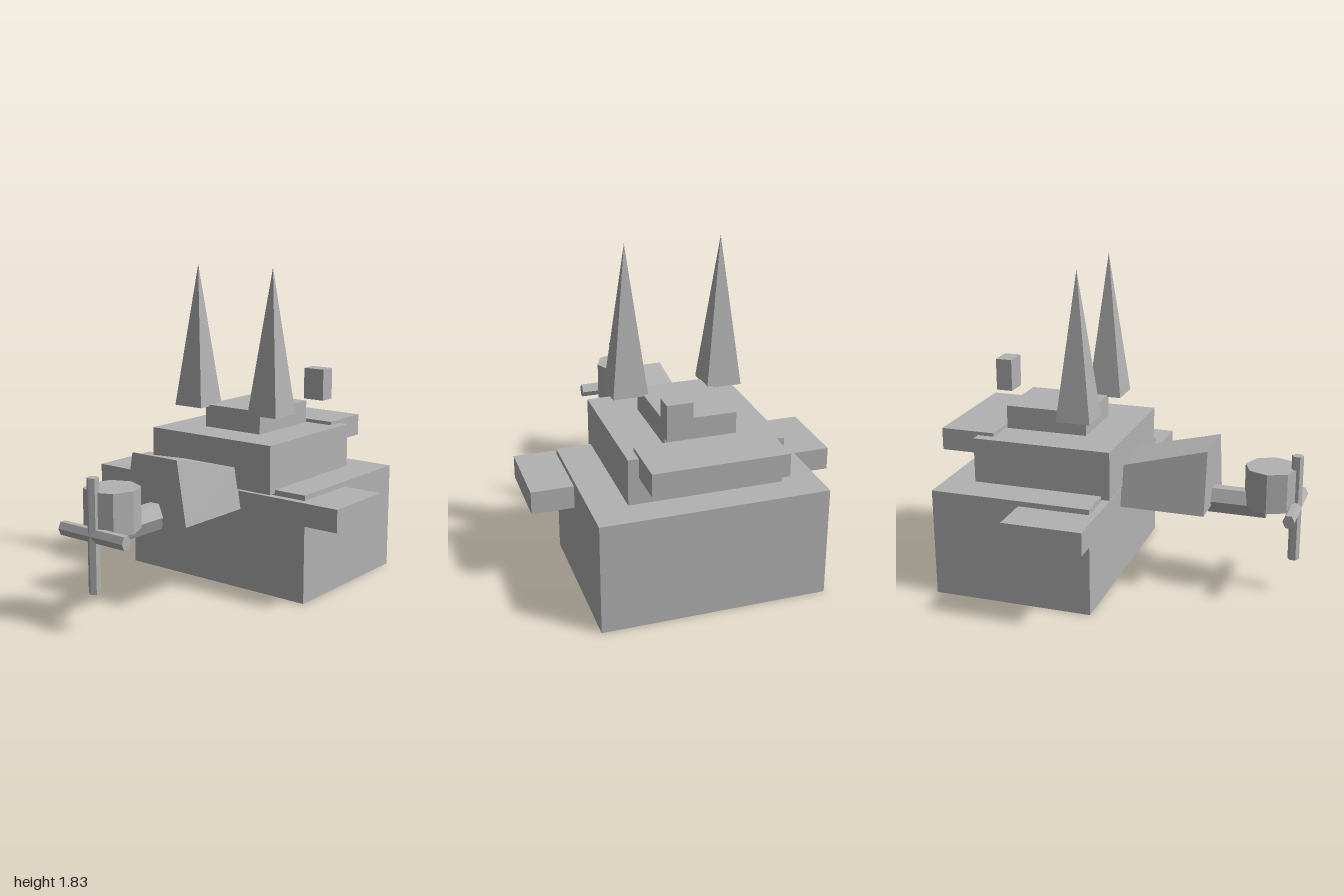
import * as THREE from 'three';

export function createModel() {
  const model = new THREE.Group();
  const grey = new THREE.MeshStandardMaterial({ color: 0xb2b2b2, flatShading: true });
  grey.name = 'grey';

  function add(name, geometry, x = 0, y = 0, z = 0) {
    const mesh = new THREE.Mesh(geometry, grey);
    mesh.name = name;
    mesh.position.set(x, y, z);
    model.add(mesh);
    return mesh;
  }

  // Box given by its extents on each axis
  function block(name, [x0, x1], [y0, y1], [z0, z1]) {
    return add(name, new THREE.BoxGeometry(x1 - x0, y1 - y0, z1 - z0),
      (x0 + x1) / 2, (y0 + y1) / 2, (z0 + z1) / 2);
  }

  // Stacked hull blocks
  block('body', [-0.625, 0.625], [0, 0.62], [-0.95, -0.03]);
  block('wings', [-0.86, 0.86], [0.46, 0.59], [-0.437, 0.013]);
  block('deck', [-0.425, 0.425], [0.6, 0.877], [-0.78, 0.018]);
  block('topBlock', [-0.197, 0.197], [0.87, 1.01], [-0.673, -0.197]);
  block('rearSlab', [-0.367, 0.367], [0.77, 0.897], [-1, -0.684]);
  block('chimney', [0.112, 0.25], [1.0, 1.19], [-0.872, -0.774]);

  // Pair of square spikes
  for (const side of [-1, 1]) {
    const spike = new THREE.ConeGeometry(0.098 * Math.SQRT2, 0.83, 4).rotateY(Math.PI / 4);
    add(side > 0 ? 'leftSpike' : 'rightSpike', spike, side * 0.267, 1.0 + 0.415, -0.213);
  }

  // Neck: a box whose top narrows and rises towards the front
  const neck = new THREE.BoxGeometry(2, 1, 1);
  const p = neck.attributes.position;
  for (let i = 0; i < p.count; i++) {
    const front = p.getZ(i) > 0, top = p.getY(i) > 0;
    const halfWidth = top ? (front ? 0.158 : 0.18) : 0.22;
    p.setXYZ(i, Math.sign(p.getX(i)) * halfWidth,
      top ? (front ? 0.845 : 0.72) : 0.485, front ? 0.495 : 0.012);
  }
  neck.computeVertexNormals();
  add('neck', neck);

  // Six-sided connecting rod along z
  const rod = new THREE.CylinderGeometry(0.06, 0.06, 0.33, 6)
    .rotateY(Math.PI / 2).rotateX(Math.PI / 2).scale(1, 0.0725 / 0.052, 1);
  add('connectingRod', rod, 0, 0.513, 0.64);

  // Eight-sided barrel with a crossed bar and post in front
  add('barrel', new THREE.CylinderGeometry(0.15, 0.15, 0.227, 8), 0, 0.6285, 0.827);
  add('post', new THREE.CylinderGeometry(0.033, 0.033, 0.615, 6), 0, 0.512, 0.967);
  const bar = new THREE.CylinderGeometry(0.033, 0.033, 0.45, 6)
    .rotateZ(Math.PI / 2).scale(1, 1.24, 1);
  add('crossBar', bar, 0, 0.515, 0.967);

  return model;
}
